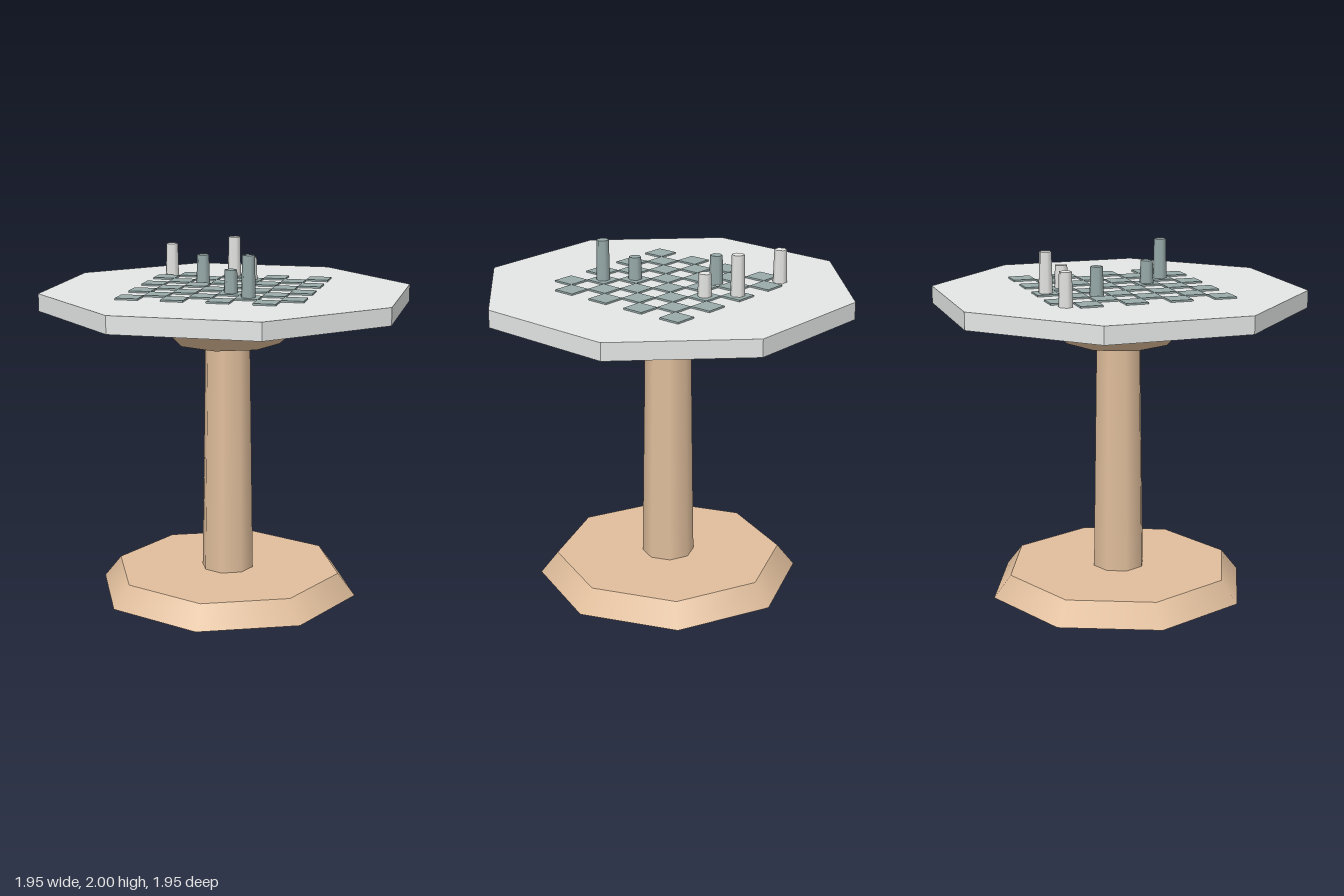
import * as THREE from 'three';

const paint = (name, color) => {
  const m = new THREE.MeshStandardMaterial({ color });
  m.name = name;
  return m;
};

export function createModel() {
  const group = new THREE.Group();
  const wood = paint('wood', 0xe0be9c);
  const stone = paint('pale stone', 0xe3e6e5);
  stone.flatShading = true;
  stone.side = THREE.DoubleSide;
  const teal = paint('grey teal', 0x98abaa);
  const ivory = paint('ivory', 0xe6e6e4);

  const add = (name, geo, mat, x, y, z, parent = group) => {
    const mesh = new THREE.Mesh(geo, mat);
    mesh.name = name;
    mesh.position.set(x, y, z);
    parent.add(mesh);
  };

  // Tapered prism standing between two heights
  const prism = (name, mat, rTop, rBottom, y0, y1, sides, turn = 0, x = 0, z = 0) => {
    const geo = new THREE.CylinderGeometry(rTop, rBottom, y1 - y0, sides);
    add(name, geo.rotateY(turn), mat, x, (y0 + y1) / 2, z);
  };

  // Pedestal
  const topY = 1.762;
  const rimY = 1.664;
  prism('base', wood, 0.655, 0.755, 0, 0.126, 8);
  prism('pillar', wood, 0.13, 0.151, 0.126, 1.463, 8);
  prism('bracket', wood, 0.503, 0.302, 1.463, rimY, 8);

  // Tabletop: a flat octagon with a rim, open underneath
  const turn = Math.PI / 8;
  const radius = 1.057;
  const rim = new THREE.CylinderGeometry(radius, radius, topY - rimY, 8, 1, true).rotateY(turn);
  add('tabletopRim', rim, stone, 0, (topY + rimY) / 2, 0);
  const plate = new THREE.CircleGeometry(radius, 8).rotateX(-Math.PI / 2).rotateY(turn);
  add('tabletop', plate, stone, 0, topY, 0);

  // Dark squares of the board
  const cell = 0.1262;
  const at = (i) => (i - 3.5) * cell;
  const board = new THREE.Group();
  board.name = 'board';
  group.add(board);
  const tile = new THREE.BoxGeometry(cell, 0.0095, cell);
  for (let row = 0; row < 8; row++) {
    for (let col = 0; col < 8; col++) {
      if ((row + col) % 2 === 1) add('darkSquare', tile, teal, at(col), topY + 0.005, at(row), board);
    }
  }

  // Game pieces: column, row, top height, material
  const pieces = [
    [0, 0, 1.95, ivory], [3, 0, 2, ivory], [4, 1, 1.9, ivory],
    [2, 2, 1.925, teal], [4, 5, 1.9, teal], [5, 6, 2, teal],
  ];
  for (const [col, row, height, mat] of pieces) {
    prism(mat === ivory ? 'lightPiece' : 'darkPiece', mat,
      0.035, 0.04, topY, height, 6, Math.PI / 6, at(col), at(row));
  }
  return group;
}
